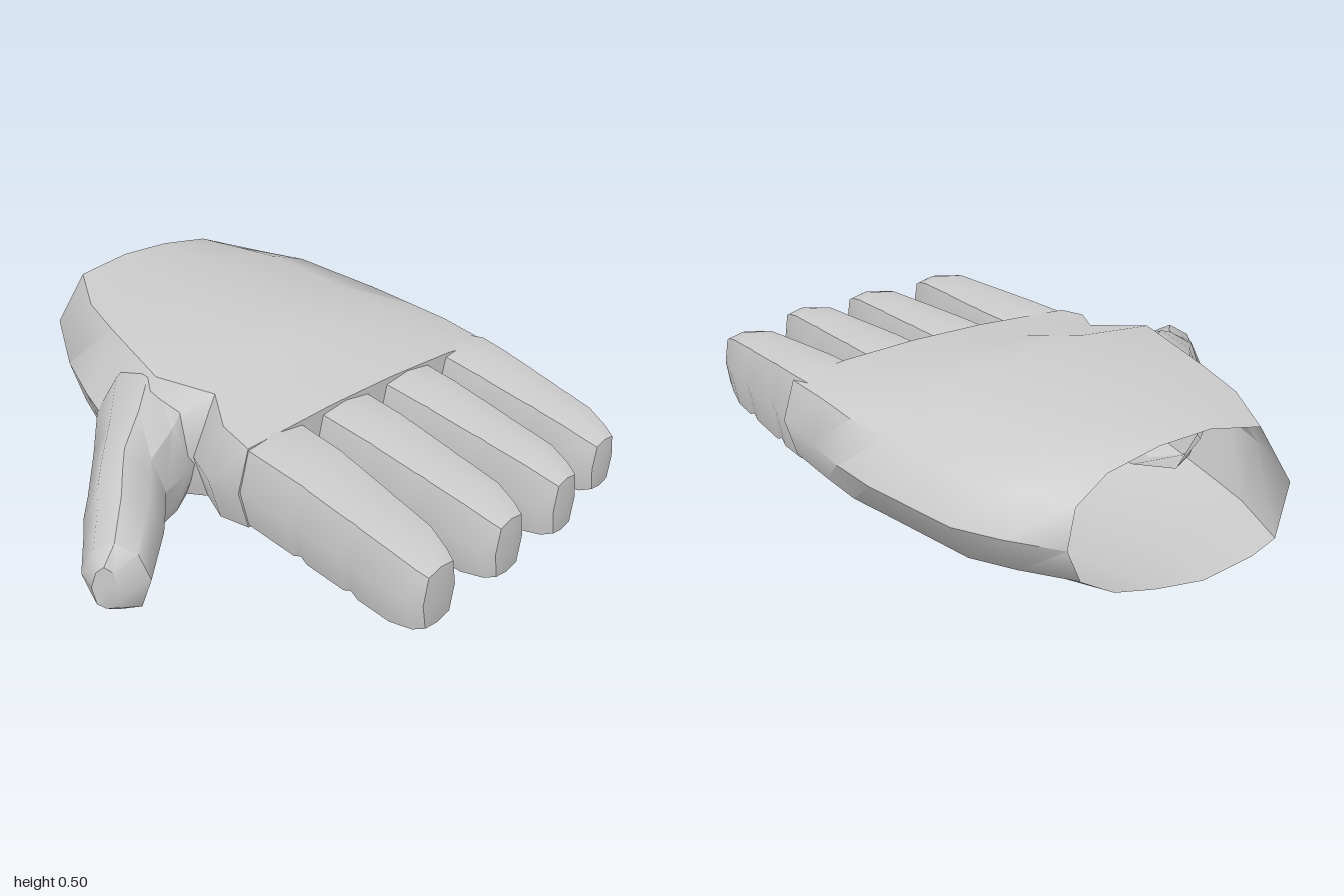
import * as THREE from 'three';
import { toCreasedNormals } from 'three/addons/utils/BufferGeometryUtils.js';

// Cross-section outlines: [fraction from edge p to edge q, fraction of height]
const PALM = [[0, .5], [.055, .75], [.2, .9], [.43, .98], [.66, 1], [.89, .93], [1, .52],
  [.94, .14], [.83, .06], [.6, 0], [.38, .05], [.2, .12], [.055, .27]];
const KNUCKLES = [[0, .5], [.035, .88], [.2, .96], [.43, 1], [.66, 1], [.965, .95], [1, .5],
  [.965, .05], [.83, .02], [.6, 0], [.38, 0], [.2, .03], [.035, .12]];
const FINGER = [[0, .5], [.12, .95], [.5, 1], [.88, .95], [1, .5], [.88, .05], [.5, 0], [.12, .05]];
const THUMB = [[0, .5], [.17, .87], [.5, 1], [.8, .87], [1, .5], [.83, .1], [.5, 0], [.15, .08]];

const { lerp, clamp } = THREE.MathUtils;

// One closed ring between two edge points given as [x, z]
function ring(outline, p, q, y0, y1) {
  return outline.map(([t, s]) => new THREE.Vector3(
    lerp(p[0], q[0], t), lerp(y0, y1, s), lerp(p[1], q[1], t)));
}

function centre(r) {
  return r.reduce((c, v) => c.add(v), new THREE.Vector3()).divideScalar(r.length);
}

// Skin a row of rings, open at the start and closed with a shallow bulge at the end
function loft(name, rings, bulge) {
  const n = rings[0].length, index = [];
  const points = rings.flat();
  for (let i = 0; i < rings.length - 1; i++) {
    for (let j = 0; j < n; j++) {
      const a = i * n + j, b = i * n + (j + 1) % n;
      index.push(a, b, a + n, b, b + n, a + n);
    }
  }
  const end = centre(rings.at(-1));
  const step = end.clone().sub(centre(rings.at(-2)));
  points.push(end.addScaledVector(step, bulge));
  const last = (rings.length - 1) * n;
  for (let j = 0; j < n; j++) index.push(points.length - 1, last + j, last + (j + 1) % n);
  const geometry = new THREE.BufferGeometry().setFromPoints(points);
  geometry.setIndex(index);
  const material = new THREE.MeshStandardMaterial({ color: 0xcccccc, side: THREE.DoubleSide });
  const mesh = new THREE.Mesh(toCreasedNormals(geometry, 0.8), material);
  mesh.name = name;
  return mesh;
}

// Finger: z range at its root and near its tip, x of root and tip, heights near the tip
function finger(name, root, tip, start, length, y0, y1) {
  // [x, notch under a joint, inset all round]
  const sections = [[start - .1, 0, .025], [start, 0, .004], [.44, 0, 0], [.47, .014, 0],
    [.5, 0, 0], [.66, 0, 0], [.69, .014, 0], [.72, 0, 0],
    [length - .13, 0, 0], [length - .05, 0, .016], [length - .015, 0, .033]];
  const rings = sections.map(([x, notch, inset]) => {
    const k = clamp((x - .3) / (length - .4), 0, 1.1);
    const za = lerp(root[0], tip[0], k) + inset + notch * .2;
    const zb = lerp(root[1], tip[1], k) - inset - notch * .2;
    return ring(FINGER, [x, za], [x, zb],
      lerp(.12, y0, k) + inset + notch, lerp(.43, y1, k) - inset);
  });
  return loft(name, rings, .3);
}

export function createModel() {
  const hand = new THREE.Group();
  hand.name = 'hand';

  // Palm, open at the wrist, squarer towards the knuckles:
  // [x, slant, zMin, zMax, yMin, yMax, squareness]
  const palm = [
    [-1, .175, -.745, 0, .04, .465, 0],
    [-.74, .05, -.815, .17, .02, .478, 0],
    [-.55, 0, -.865, .265, .01, .49, 0],
    [-.2, 0, -.865, .41, .005, .507, 0],
    [-.02, 0, -.84, .29, .035, .478, .3],
    [.12, .03, -.81, .355, .08, .455, .7],
    [.265, .1, -.77, .348, .114, .434, 1],
  ].map(([x, slant, z0, z1, y0, y1, k]) => {
    const outline = PALM.map(([t, s], i) => [lerp(t, KNUCKLES[i][0], k), lerp(s, KNUCKLES[i][1], k)]);
    return ring(outline, [x - slant * z0, z0], [x - slant * z1, z1], y0, y1);
  });
  // The upper rim of the wrist leans inwards
  for (const v of palm[0]) v.x += Math.max(0, v.y - .26) * .2;
  hand.add(loft('palm', palm, 0));

  // Four fingers
  hand.add(
    finger('indexFinger', [.05, .346], [.2, .415], .235, .98, .145, .41),
    finger('middleFinger', [-.22, .04], [-.1, .1], .265, .99, .15, .41),
    finger('ringFinger', [-.49, -.235], [-.37, -.185], .29, .99, .15, .41),
    finger('littleFinger', [-.766, -.505], [-.645, -.46], .33, .945, .15, .395),
  );

  // Thumb: [inner x, inner z, outer x, outer z, yMin, yMax]
  const thumb = [
    [-.1, .02, -.6, .08, .1, .4],
    [-.05, .2, -.46, .3, .04, .455],
    [-.015, .31, -.3, .46, .03, .42],
    [-.01, .42, -.17, .6, .03, .37],
    [.03, .46, -.11, .67, .03, .345],
    [.11, .545, -.05, .725, .03, .32],
    [.235, .715, .065, .835, .04, .28],
    [.2, .81, .14, .862, .09, .24],
  ].map(([ax, az, bx, bz, y0, y1]) => ring(THUMB, [ax, az], [bx, bz], y0, y1));
  hand.add(loft('thumb', thumb, 0));

  return hand;
}
